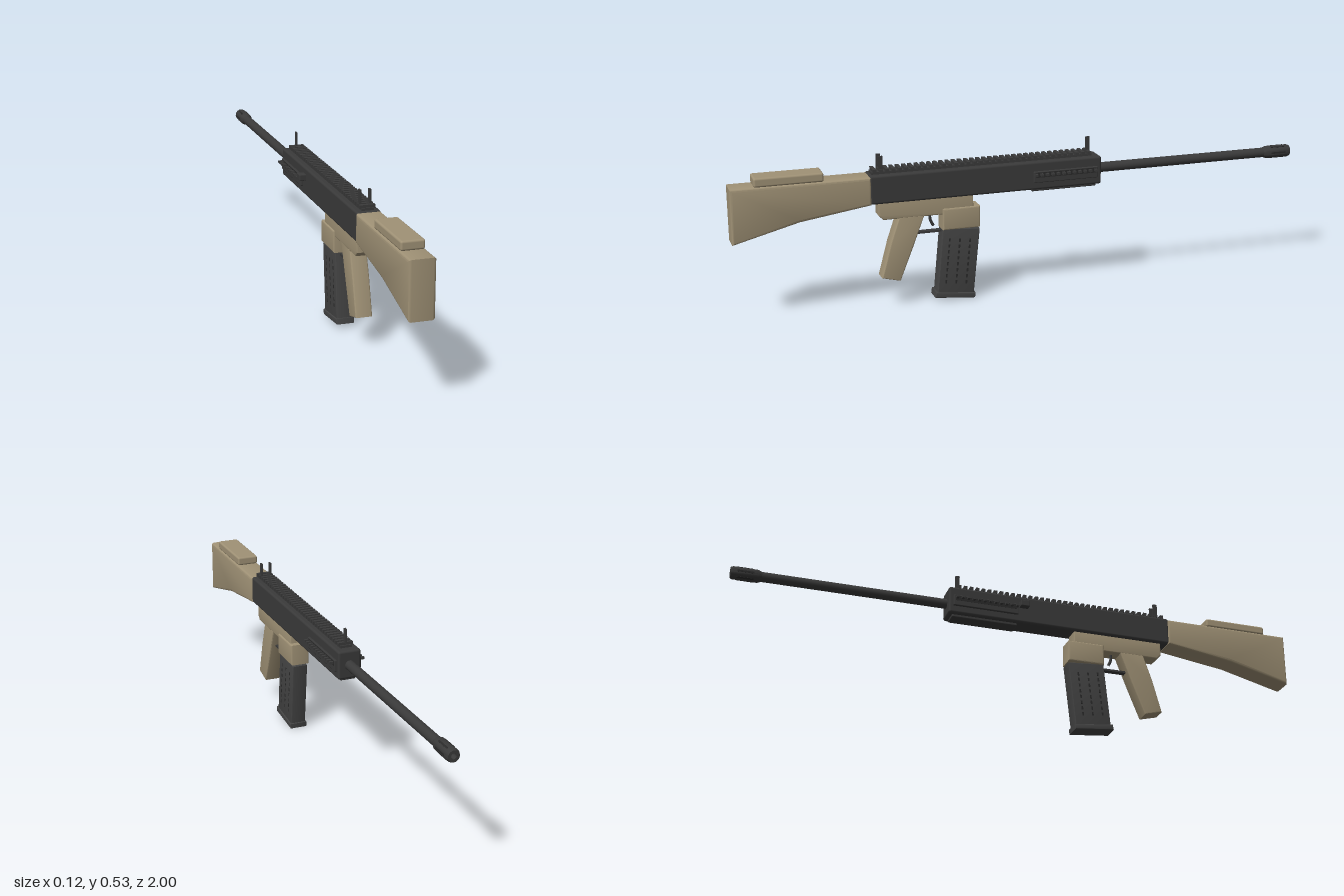
import * as THREE from 'three';
import { toCreasedNormals } from 'three/addons/utils/BufferGeometryUtils.js';
import { RoundedBoxGeometry } from 'three/addons/geometries/RoundedBoxGeometry.js';

export function createModel() {
  const model = new THREE.Group();
  const mat = (name, color) => {
    const m = new THREE.MeshStandardMaterial({ color });
    m.name = name;
    return m;
  };
  const tan = mat('tan polymer', 0xa09276);
  const steel = mat('dark steel', 0x3a3a3a);
  const grey = mat('magazine grey', 0x444444);
  const black = mat('slot black', 0x2a2a2a);

  const add = (name, geo, material, parent = model) => {
    const mesh = new THREE.Mesh(geo, material);
    mesh.name = name;
    parent.add(mesh);
    return mesh;
  };
  const group = (name) => {
    const g = new THREE.Group();
    g.name = name;
    model.add(g);
    return g;
  };
  // Box given by its limits on each axis, optionally with rounded edges
  const box = (name, [x0, x1], [y0, y1], [z0, z1], material, parent = model, r = 0) => {
    const s = [x1 - x0, y1 - y0, z1 - z0];
    const geo = r ? new RoundedBoxGeometry(...s, 2, r) : new THREE.BoxGeometry(...s);
    const mesh = add(name, geo, material, parent);
    mesh.position.set((x0 + x1) / 2, (y0 + y1) / 2, (z0 + z1) / 2);
    return mesh;
  };
  // Side outline of [z, y] points, extruded across x with bevelled edges
  const profile = (name, pts, halfWidth, bevel, material, parent = model) => {
    const shape = new THREE.Shape(pts.map(([z, y]) => new THREE.Vector2(z, y)));
    const geo = new THREE.ExtrudeGeometry(shape, {
      depth: 2 * (halfWidth - bevel), bevelEnabled: true, bevelSize: bevel,
      bevelThickness: bevel, bevelOffset: -bevel, bevelSegments: 3,
    });
    geo.translate(0, 0, bevel - halfWidth).rotateY(-Math.PI / 2);
    return add(name, toCreasedNormals(geo, 0.6), material, parent);
  };

  // Stock and cheek rest
  profile('stock', [[0.54, 0.365], [0.78, 0.33], [1, 0.273], [1, 0.46], [0.54, 0.46]], 0.042, 0.009, tan);
  box('cheekRest', [-0.038, 0.038], [0.459, 0.49], [0.695, 0.922], tan, model, 0.007);

  // Receiver
  box('receiver', [-0.04, 0.04], [0.366, 0.464], [-0.265, 0.545], steel, model, 0.008);

  // Toothed top rail
  const topRail = group('topRail');
  box('railBase', [-0.02, 0.02], [0.46, 0.472], [-0.235, 0.535], steel, topRail);
  for (let i = 0; i < 36; i++) {
    const z = -0.23 + i * 0.0214;
    box('railTooth', [-0.026, 0.026], [0.469, 0.481], [z, z + 0.012], steel, topRail);
  }

  // Sights
  const sights = group('sights');
  box('frontSight', [-0.003, 0.003], [0.475, 0.527], [-0.234, -0.219], steel, sights);
  for (const s of [-1, 1]) {
    box('rearSight', [s * 0.016 - 0.003, s * 0.016 + 0.003], [0.475, 0.524], [0.496, 0.511], steel, sights);
  }

  // Toothed rails on both sides of the fore-end
  for (const s of [-1, 1]) {
    const rail = group(s > 0 ? 'leftRail' : 'rightRail');
    const span = (a, b) => (s > 0 ? [a, b] : [-b, -a]);
    box('sidePanel', span(0.036, 0.047), [0.392, 0.431], [-0.25, -0.018], steel, rail, 0.003);
    box('sideSlot', span(0.045, 0.0475), [0.41, 0.428], [-0.243, -0.025], black, rail);
    for (let i = 0; i < 12; i++) {
      const z = -0.243 + i * 0.0194;
      box('sideTooth', span(0.045, 0.062), [0.417, 0.425], [z, z + 0.009], steel, rail);
    }
  }
  box('lowerPanel', [-0.026, 0.026], [0.357, 0.37], [-0.25, -0.018], steel, model, 0.003);
  box('chargingHandle', [-0.062, -0.036], [0.42, 0.442], [-0.014, 0.018], steel, model, 0.003);

  // Barrel and muzzle piece, turned about the z axis
  const axisY = 0.414;
  const barrel = group('barrel');
  barrel.position.y = axisY;
  const tube = new THREE.CylinderGeometry(0.017, 0.017, 0.69, 20).rotateX(Math.PI / 2);
  add('barrelTube', tube, steel, barrel).position.z = -0.595;
  const turned = [[0.016, 0.895], [0.022, 0.91], [0.022, 0.992], [0.019, 1], [0.009, 1], [0.009, 0.96], [0, 0.96]];
  const muzzle = new THREE.LatheGeometry(turned.map(([r, z]) => new THREE.Vector2(r, z)), 20);
  add('muzzle', toCreasedNormals(muzzle.rotateX(-Math.PI / 2), 0.5), steel, barrel);
  for (let i = 0; i < 6; i++) {
    const a = (i + 0.5) * Math.PI / 3;
    const slot = add('muzzleSlot', new THREE.BoxGeometry(0.006, 0.002, 0.055), black, barrel);
    slot.position.set(-Math.sin(a) * 0.0216, Math.cos(a) * 0.0216, -0.952);
    slot.rotation.z = a;
  }

  // Lower housing, magazine well and grip
  profile('lowerHousing', [[0.19, 0.307], [0.5, 0.307], [0.515, 0.322], [0.515, 0.37], [0.19, 0.37]], 0.028, 0.004, tan);
  profile('magazineWell', [[0.168, 0.252], [0.298, 0.252], [0.298, 0.327], [0.168, 0.327]], 0.033, 0.005, tan);
  profile('grip', [[0.447, 0.088], [0.51, 0.104], [0.478, 0.222], [0.447, 0.312], [0.36, 0.312], [0.4, 0.206]], 0.028, 0.004, tan);

  // Trigger and its guard
  box('triggerGuard', [-0.01, 0.01], [0.242, 0.249], [0.29, 0.39], steel);
  const trigger = new THREE.CatmullRomCurve3([
    new THREE.Vector3(0, 0.31, 0.336), new THREE.Vector3(0, 0.285, 0.334), new THREE.Vector3(0, 0.264, 0.324),
  ]);
  add('trigger', new THREE.TubeGeometry(trigger, 8, 0.005, 8), steel);

  // Slanted magazine with a base plate and small marks on each side
  const magazine = group('magazine');
  profile('magazineBody', [[0.192, 0.012], [0.319, 0.027], [0.297, 0.256], [0.168, 0.246]], 0.027, 0.003, grey, magazine);
  profile('basePlate', [[0.188, 0], [0.328, 0.014], [0.325, 0.033], [0.186, 0.018]], 0.031, 0.003, grey, magazine);
  for (const s of [-1, 1]) {
    for (let row = 0; row < 8; row++) {
      for (let col = 0; col < 3; col++) {
        const mark = add('magazineMark', new THREE.BoxGeometry(0.002, 0.012, 0.006), black, magazine);
        const y = 0.06 + row * 0.021 + col * 0.004;
        mark.position.set(s * 0.0265, y, 0.218 + col * 0.036 - (y - 0.06) * 0.1);
        mark.rotation.x = -0.1;
      }
    }
  }
  return model;
}
